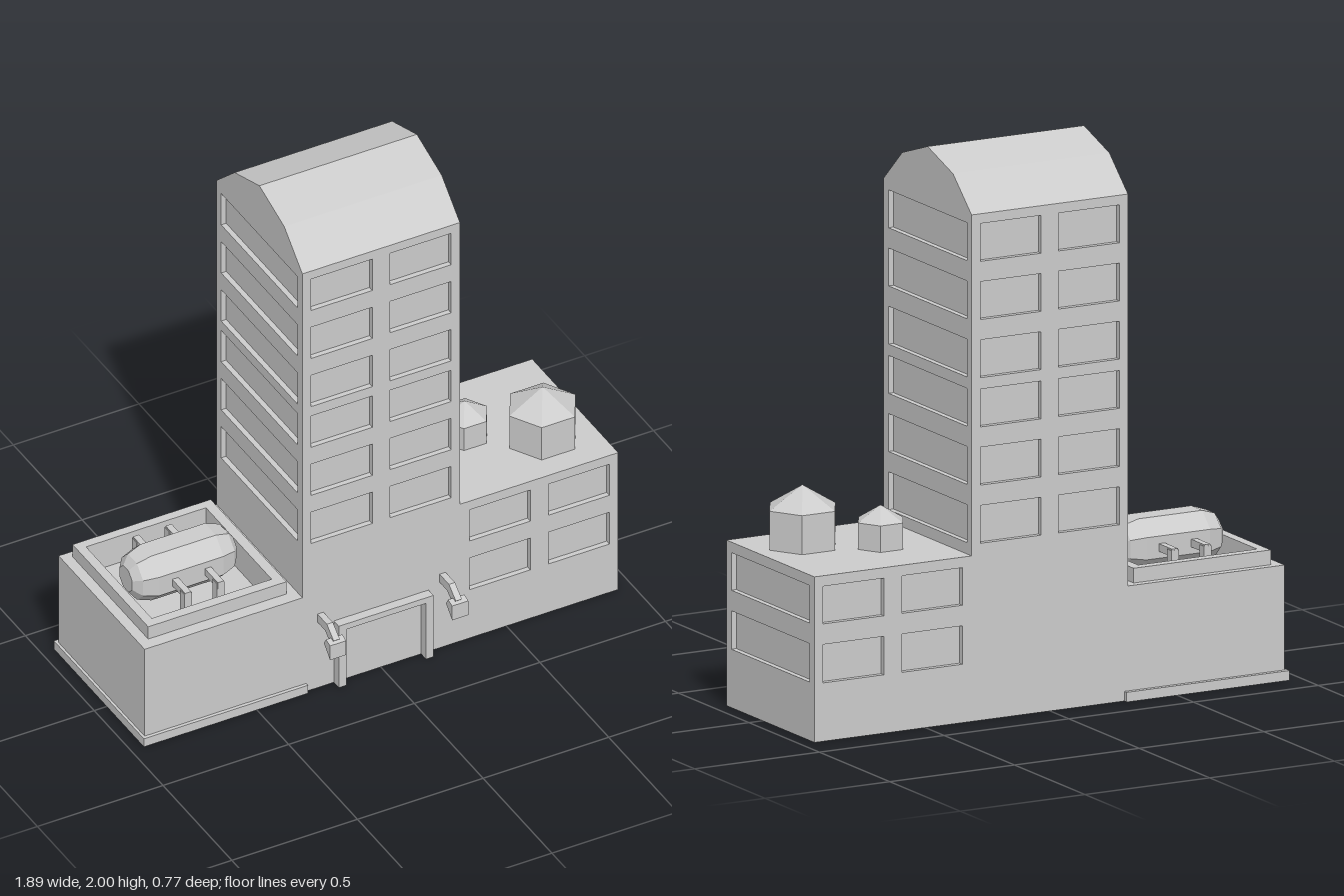
import * as THREE from 'three';

const FRONT = 0.257, BACK = -0.368, MID = (FRONT + BACK) / 2;
const WALL = 0.02; // window recess depth

const material = new THREE.MeshStandardMaterial({ color: 0xcccccc, flatShading: true });

function add(parent, name, geometry) {
  const mesh = new THREE.Mesh(geometry, material);
  mesh.name = name;
  parent.add(mesh);
  return mesh;
}

// Box given by its limits on each axis
function box(x0, x1, y0, y1, z0, z1) {
  return new THREE.BoxGeometry(x1 - x0, y1 - y0, z1 - z0)
    .translate((x0 + x1) / 2, (y0 + y1) / 2, (z0 + z1) / 2);
}

function rect(Type, x0, x1, y0, y1) {
  return new Type([[x0, y0], [x1, y0], [x1, y1], [x0, y1]].map(p => new THREE.Vector2(...p)));
}

// Flat plate with rectangular holes, lying in the xy plane
function plate(outer, holes, depth) {
  const shape = rect(THREE.Shape, ...outer);
  holes.forEach(h => shape.holes.push(rect(THREE.Path, ...h)));
  return new THREE.ExtrudeGeometry(shape, { depth, bevelEnabled: false });
}

// Storey block: solid core with pierced walls on the given sides
function block(name, x0, x1, y0, y1, columns, rows, sides) {
  const group = new THREE.Group();
  group.name = name;
  const left = sides.includes('left') ? WALL : 0, right = sides.includes('right') ? WALL : 0;
  add(group, 'core', box(x0 + right, x1 - left, y0, y1, BACK + WALL, FRONT - WALL));
  const faceHoles = rows.flatMap(r => columns.map(c => [...c, ...r]));
  for (const z of [FRONT - WALL, BACK])
    add(group, 'windowWall', plate([x0, x1, y0, y1], faceHoles, WALL).translate(0, 0, z));
  const half = (FRONT - BACK) / 2 - WALL;
  const sideHoles = rows.map(r => [-0.278, 0.278, ...r]);
  const side = x => add(group, 'sideWindowWall',
    plate([-half, half, y0, y1], sideHoles, WALL).rotateY(Math.PI / 2).translate(x, 0, MID));
  if (left) side(x1 - WALL);
  if (right) side(x0);
  return group;
}

// Horizontal ring in the xz plane, from y0 to y1
function rim(outer, hole, y0, y1) {
  const flip = ([x0, x1, z0, z1]) => [x0, x1, -z1, -z0];
  return plate(flip(outer), [flip(hole)], y1 - y0).rotateX(-Math.PI / 2).translate(0, y0, 0);
}

// Profile in (z, y) extruded along x, centred on x
function prism(points, x, width) {
  const shape = new THREE.Shape(points.map(([z, y]) => new THREE.Vector2(-z, y)));
  return new THREE.ExtrudeGeometry(shape, { depth: width, bevelEnabled: false })
    .rotateY(Math.PI / 2).translate(x - width / 2, 0, 0);
}

function hexTank(x, z, radius, y0, y1, peak) {
  const group = new THREE.Group();
  group.name = 'roofTank';
  add(group, 'tankBody', new THREE.CylinderGeometry(radius, radius, y1 - y0, 6)
    .rotateY(Math.PI / 6).translate(x, (y0 + y1) / 2, z));
  add(group, 'tankRoof', new THREE.ConeGeometry(radius, peak - y1, 6)
    .rotateY(Math.PI / 6).translate(x, (y1 + peak) / 2, z));
  return group;
}

export function createModel() {
  const model = new THREE.Group();
  model.name = 'building';

  // Tower: plain base, two three-storey blocks, faceted vault
  const tx0 = -0.312, tx1 = 0.315;
  add(model, 'towerBase', box(tx0, tx1, 0, 0.63, BACK, FRONT));
  const towerColumns = [[-0.278, -0.034], [0.036, 0.28]];
  [0.63, 1.225].forEach(y => {
    const rows = [0, 1, 2].map(i => [y + 0.006 + i * 0.209, y + 0.142 + i * 0.209]);
    model.add(block('towerStoreys', tx0, tx1, y, y + 0.595, towerColumns, rows, ['left', 'right']));
  });
  add(model, 'towerRoof', prism(
    [[FRONT, 1.82], [0.125, 1.94], [MID, 2], [-0.236, 1.94], [BACK, 1.82]],
    (tx0 + tx1) / 2, tx1 - tx0));

  // Left-hand office wing with two hexagonal tanks
  model.add(block('officeWing', tx1, 0.945, 0, 0.595,
    [[0.352, 0.595], [0.667, 0.91]], [[0.21, 0.348], [0.422, 0.557]], ['left']));
  model.add(hexTank(0.523, -0.09, 0.09, 0.595, 0.69, 0.745));
  model.add(hexTank(0.756, 0.052, 0.132, 0.595, 0.735, 0.815));

  // Low wing with plinth, sunken roof and parapet
  const well = [-0.865, -0.388, -0.305, 0.172];
  add(model, 'lowWing', box(-0.94, tx0, 0, 0.35, BACK, FRONT));
  add(model, 'lowWingRim', rim([-0.94, tx0, BACK, FRONT], well, 0.35, 0.412));
  add(model, 'parapet', rim([-0.9, -0.35, -0.34, 0.21], well, 0.412, 0.465));
  add(model, 'plinth', box(-0.95, -0.297, 0, 0.035, -0.385, 0.27));

  // Horizontal eight-sided tank
  const profile = [[0, -0.208], [0.05, -0.208], [0.085, -0.182], [0.104, -0.128],
    [0.104, 0.128], [0.085, 0.182], [0.05, 0.208], [0, 0.208]];
  add(model, 'horizontalTank', new THREE.LatheGeometry(profile.map(p => new THREE.Vector2(...p)), 8)
    .rotateY(Math.PI / 8).rotateZ(-Math.PI / 2).translate(-0.633, 0.477, -0.06));

  // Tank brackets
  for (const x of [-0.697, -0.567]) {
    add(model, 'tankBracket', box(x - 0.012, x + 0.012, 0.462, 0.49, -0.25, 0.13));
    for (const z of [-0.235, 0.113])
      add(model, 'bracketLeg', box(x - 0.015, x + 0.015, 0.35, 0.485, z - 0.016, z + 0.016));
  }

  // Door frame
  add(model, 'doorFrameTop', box(-0.187, 0.19, 0.243, 0.267, FRONT, 0.293));
  add(model, 'doorFrameSide', box(-0.187, -0.157, 0, 0.243, FRONT, 0.293));
  add(model, 'doorFrameSide', box(0.16, 0.19, 0, 0.243, FRONT, 0.293));

  // Wall lamps: bent arm and wedge-shaped shade
  for (const x of [-0.24, 0.246]) {
    add(model, 'lampArm', prism([[FRONT, 0.285], [FRONT, 0.32], [0.325, 0.32],
      [0.375, 0.28], [0.35, 0.255], [0.312, 0.285]], x, 0.024));
    add(model, 'lampShade', prism([[0.385, 0.21], [0.34, 0.255], [0.355, 0.28], [0.385, 0.272]], x, 0.064));
  }
  return model;
}
